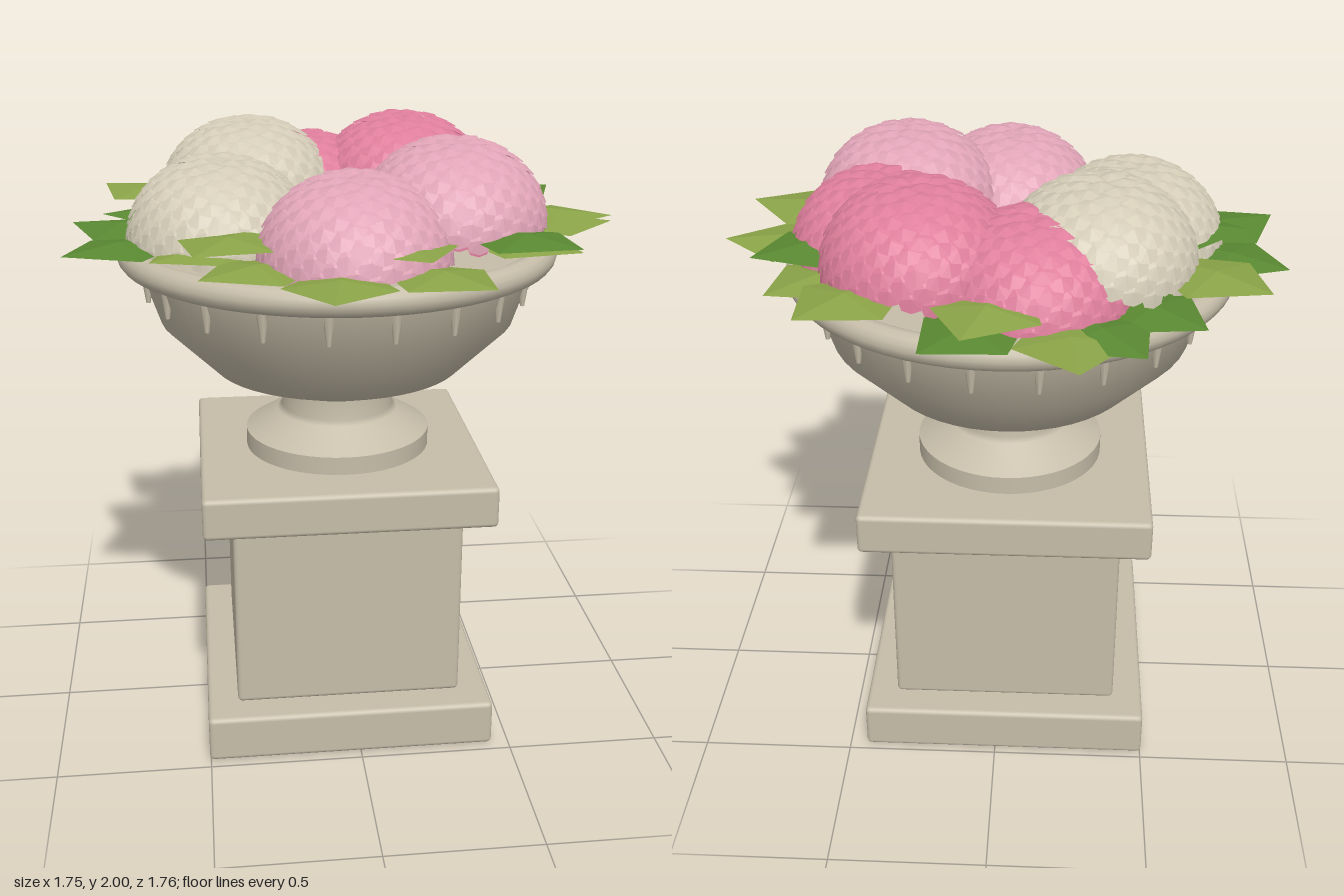
import * as THREE from 'three';
import { mergeGeometries } from 'three/addons/utils/BufferGeometryUtils.js';
import { RoundedBoxGeometry } from 'three/addons/geometries/RoundedBoxGeometry.js';

const mat = (name, color, side = THREE.FrontSide) => {
  const m = new THREE.MeshStandardMaterial({ color, side });
  m.name = name;
  return m;
};

const V = (x, y, z) => new THREE.Vector3(x, y, z);

// Triangles fanned out from the first point, flat shaded
function fan(points) {
  const pos = [];
  for (let i = 1; i < points.length - 1; i++) {
    for (const p of [points[0], points[i], points[i + 1]]) pos.push(p.x, p.y, p.z);
  }
  const g = new THREE.BufferGeometry();
  g.setAttribute('position', new THREE.Float32BufferAttribute(pos, 3));
  g.computeVertexNormals();
  return g;
}

// Overlapping scale-like petals in a spiral over a dome
function petalGeometry(radius, height, count) {
  const petals = [];
  for (let i = 0; i < count; i++) {
    const c = 1 - (i + 0.5) / count;
    const s = Math.sqrt(1 - c * c);
    const a = i * 2.39996;
    const centre = V(radius * s * Math.cos(a), height * c, radius * s * Math.sin(a));
    const n = V(s * Math.cos(a) / radius, c / height, s * Math.sin(a) / radius).normalize();
    const across = V(-Math.sin(a), 0, Math.cos(a));
    const down = across.clone().cross(n);
    if (down.y > 0) down.negate();
    const at = (u, v, lift) => centre.clone().addScaledVector(across, u)
      .addScaledVector(down, v).addScaledVector(n, lift);
    petals.push(fan([
      at(0, 0, 0.012), at(-0.018, -0.035, -0.004), at(0.018, -0.035, -0.004), at(0.038, 0.005, 0.004),
      at(0.028, 0.034, 0.008), at(0, 0.042, 0.012), at(-0.028, 0.034, 0.008),
      at(-0.038, 0.005, 0.004), at(-0.018, -0.035, -0.004),
    ]));
  }
  return mergeGeometries(petals);
}

// Creased kite leaf: tip at the origin, pointing along +x
function leafGeometry() {
  const mid = V(-0.19, 0.018, 0);
  return fan([mid, V(0, 0, 0), V(-0.18, -0.008, -0.165), V(-0.48, -0.004, 0),
    V(-0.18, -0.008, 0.165), V(0, 0, 0)]);
}

export function createModel() {
  const model = new THREE.Group();
  const stone = mat('stone', 0xc6bda9);
  const cream = mat('creamPetals', 0xd3cbb6, THREE.DoubleSide);
  const blush = mat('lightPinkPetals', 0xe0a4b7, THREE.DoubleSide);
  const rose = mat('deepPinkPetals', 0xde7e9c, THREE.DoubleSide);
  const lime = mat('lightLeaf', 0x8ba448, THREE.DoubleSide);
  const green = mat('darkLeaf', 0x5a8932, THREE.DoubleSide);

  const add = (parent, name, geometry, material, x = 0, y = 0, z = 0) => {
    const m = new THREE.Mesh(geometry, material);
    m.name = name;
    m.position.set(x, y, z);
    parent.add(m);
    return m;
  };

  // Pedestal and urn share one axis
  const urn = new THREE.Group();
  urn.name = 'pedestalUrn';
  urn.position.set(-0.03, 0, -0.005);
  model.add(urn);

  const block = (name, width, y0, y1) => add(urn, name,
    new RoundedBoxGeometry(width, y1 - y0, width, 3, 0.016), stone, 0, (y0 + y1) / 2, 0);
  block('pedestalBase', 0.947, 0, 0.155);
  block('pedestalShaft', 0.746, 0.155, 0.805);
  block('pedestalCap', 0.934, 0.803, 0.94);

  const lathe = (name, profile) => add(urn, name,
    new THREE.LatheGeometry(profile.map(([r, y]) => new THREE.Vector2(r, y)), 48), stone);
  lathe('footRing', [[0.307, 0.935], [0.307, 1.0]]);
  lathe('neck', [[0.307, 1.0], [0.2, 1.065], [0.185, 1.08], [0.185, 1.165]]);
  lathe('bowlUnderside', [[0, 1.16], [0.222, 1.16]]);
  lathe('bowl', [[0.222, 1.16], [0.41, 1.232], [0.575, 1.395], [0.635, 1.575], [0.645, 1.62]]);

  const rim = add(urn, 'bowlRim', new THREE.TorusGeometry(0.662, 0.043, 14, 64), stone, 0, 1.618, 0);
  rim.rotation.x = Math.PI / 2;
  const fill = add(urn, 'bowlFill', new THREE.CircleGeometry(0.65, 48), stone, 0, 1.61, 0);
  fill.rotation.x = -Math.PI / 2;

  // Small tapered drops under the rim
  const drop = new THREE.CylinderGeometry(0.021, 0.007, 0.1, 8);
  for (let i = 0; i < 20; i++) {
    const a = THREE.MathUtils.degToRad(10 + i * 18);
    add(urn, 'rimDrop', drop, stone, Math.sin(a) * 0.617, 1.525, Math.cos(a) * 0.617);
  }

  // Flower heads: x, top height, z, colour
  const R = 0.28, H = 0.25;
  const petals = petalGeometry(R, H, 190);
  const core = new THREE.SphereGeometry(1, 28, 10, 0, Math.PI * 2, 0, Math.PI / 2);
  core.scale(R - 0.004, H - 0.004, R - 0.004);
  const heads = [
    [-0.3, 1.985, -0.265, cream], [-0.405, 1.92, 0.07, cream],
    [-0.015, 1.92, 0.375, blush], [0.305, 1.985, 0.2, blush],
    [0.36, 1.92, -0.04, rose], [0.225, 1.985, -0.32, rose], [-0.115, 1.92, -0.37, rose],
  ];
  heads.forEach(([x, top, z, material], i) => {
    const head = new THREE.Group();
    head.name = 'flowerHead';
    head.position.set(x, top - H, z);
    head.rotation.y = i * 0.9;
    model.add(head);
    add(head, 'flowerCore', core, material);
    add(head, 'petals', petals, material);
  });

  // Leaves: tip x, tip z, pointing angle in degrees (+x towards +z), layer, colour
  const leaf = leafGeometry();
  const leaves = [
    [-0.245, -0.88, -97, 0, lime], [-0.425, -0.78, -128, 0, green],
    [-0.6, -0.6, -140, 0, green], [-0.785, -0.49, -142, 1, lime],
    [-0.88, -0.17, -152, 0, green], [-0.77, 0, 180, 1, green],
    [-0.88, 0.29, 150, 0, green], [-0.49, 0.58, 122, 1, lime],
    [-0.62, 0.39, 145, 0, lime], [-0.48, 0.6, 150, 0, lime],
    [-0.125, 0.88, 100, 0, lime], [0.33, 0.78, 50, 0, lime],
    [0.16, 0.71, 75, 1, lime], [0.61, 0.61, 45, 1, green],
    [0.67, 0.41, 40, 0, lime], [0.815, 0.19, 12, 1, lime],
    [0.875, 0, 0, 0, lime], [0.73, -0.3, -30, 1, green],
    [0.67, -0.43, -42, 0, lime], [0.53, -0.72, -50, 1, lime],
    [0.19, -0.78, -48, 0, green], [0.07, -0.82, -72, 1, lime],
    [0.1, 0, 10, 1, lime], [0.0, 0.12, 100, 0, green],
  ];
  leaves.forEach(([x, z, deg, layer, material]) => {
    const l = add(model, 'leaf', leaf, material, x, layer ? 1.738 : 1.676, z);
    l.rotation.y = -THREE.MathUtils.degToRad(deg);
  });

  return model;
}
